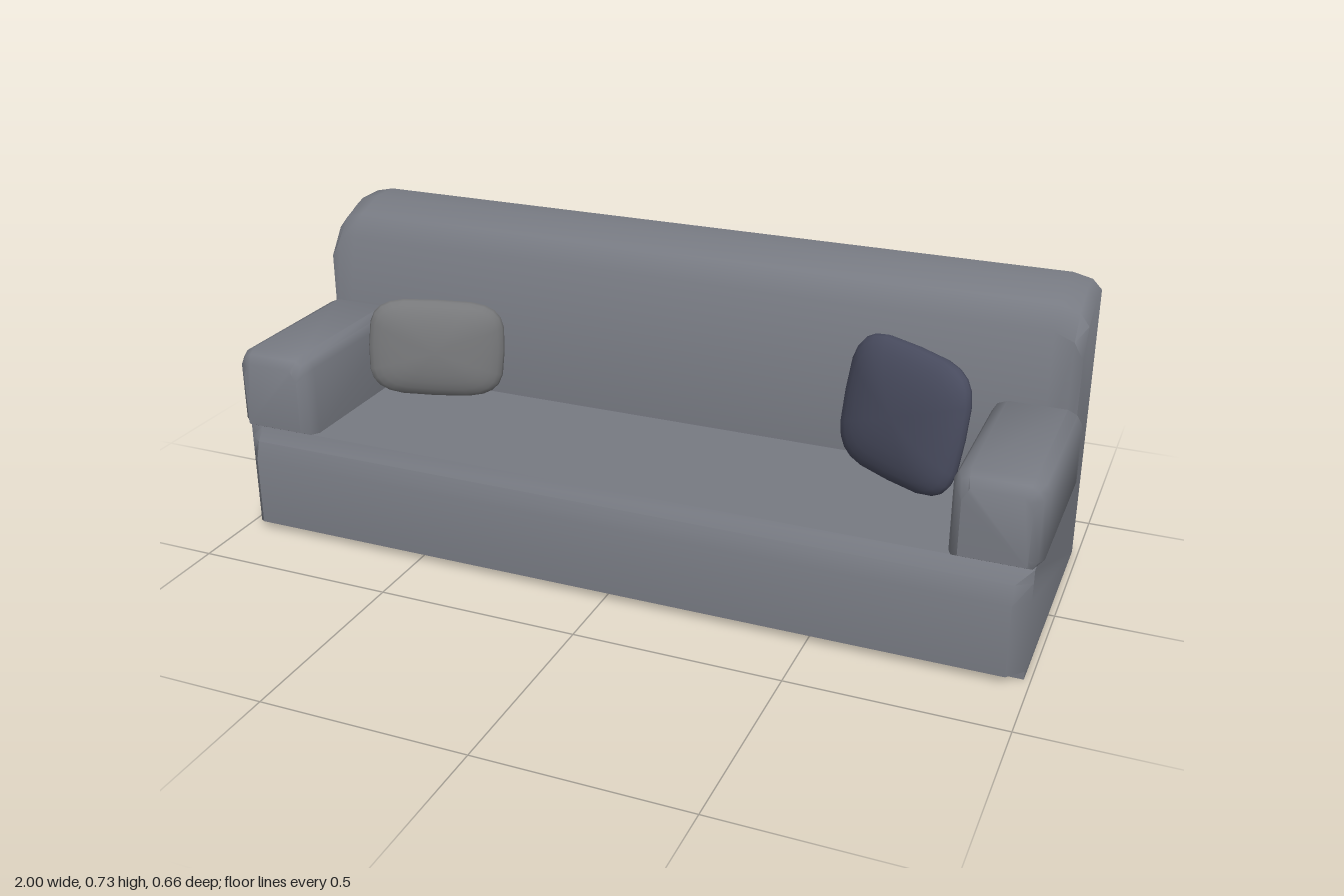
import * as THREE from 'three';
import { mergeVertices, toCreasedNormals } from 'three/addons/utils/BufferGeometryUtils.js';

const fabric = new THREE.MeshStandardMaterial({ color: 0x777a82 });
fabric.name = 'sofa fabric';
const paleFabric = new THREE.MeshStandardMaterial({ color: 0x77787a });
paleFabric.name = 'grey cushion fabric';
const darkFabric = new THREE.MeshStandardMaterial({ color: 0x484b5e });
darkFabric.name = 'navy cushion fabric';

// Skin a row of convex cross-sections with equal point counts and cap both ends
function loft(sections) {
  const tris = [];
  const n = sections[0].length;
  for (let s = 0; s < sections.length - 1; s++) {
    const a = sections[s], b = sections[s + 1];
    for (let i = 0; i < n; i++) {
      const j = (i + 1) % n;
      tris.push([a[i], a[j], b[j]], [a[i], b[j], b[i]]);
    }
  }
  const first = sections[0], last = sections[sections.length - 1];
  for (let i = 1; i < n - 1; i++) {
    tris.push([first[0], first[i + 1], first[i]], [last[0], last[i], last[i + 1]]);
  }
  // Turn the faces outward if the volume comes out negative
  let volume = 0;
  for (const [a, b, c] of tris) {
    volume += new THREE.Vector3(...a).dot(new THREE.Vector3(...b).cross(new THREE.Vector3(...c)));
  }
  if (volume < 0) tris.forEach((t) => t.reverse());
  const geometry = new THREE.BufferGeometry();
  geometry.setAttribute('position', new THREE.Float32BufferAttribute(tris.flat(2), 3));
  return toCreasedNormals(geometry, 0.8);
}

// Place (z, y) profiles at x positions, mirrored to the other side
function loftAcross(stations) {
  const right = stations.map(([x, p]) => p.map(([z, y]) => [-x, y, z]));
  const left = stations.map(([x, p]) => p.map(([z, y]) => [x, y, z])).reverse();
  return loft([...right, ...left]);
}

function add(group, name, geometry, material) {
  const mesh = new THREE.Mesh(geometry, material);
  mesh.name = name;
  group.add(mesh);
  return mesh;
}

// Puffed cushion: a sphere with a squared outline
function cushionGeometry(width, height, depth) {
  const g = new THREE.SphereGeometry(1, 24, 14);
  g.rotateX(Math.PI / 2);
  g.deleteAttribute('uv');
  g.deleteAttribute('normal');
  const p = g.attributes.position;
  const power = (v, e) => Math.sign(v) * Math.abs(v) ** e;
  for (let i = 0; i < p.count; i++) {
    const x = p.getX(i), y = p.getY(i), z = p.getZ(i);
    const r = Math.hypot(x, y);
    const c = r > 1e-5 ? x / r : 0, s = r > 1e-5 ? y / r : 0;
    const spread = r ** 0.85;
    p.setXYZ(i, power(c, 0.52) * spread * width / 2, power(s, 0.52) * spread * height / 2, z * depth / 2);
  }
  const merged = mergeVertices(g, 1e-4);
  merged.computeVertexNormals();
  return merged;
}

export function createModel() {
  const sofa = new THREE.Group();
  sofa.name = 'sofa';

  // Seat base with rounded front edge and chamfered front corners
  const baseEnd = [[-0.33, 0], [0.295, 0], [0.295, 0.02], [0.295, 0.195], [0.295, 0.24], [0.295, 0.272], [-0.33, 0.272]];
  const baseFull = [[-0.33, 0], [0.295, 0], [0.333, 0.02], [0.333, 0.195], [0.32, 0.24], [0.295, 0.272], [-0.33, 0.272]];
  add(sofa, 'seatBase', loftAcross([[0.985, baseEnd], [0.95, baseFull]]), fabric);

  // Backrest with sloped top that drops away at both ends
  const backProfile = (y1, y2, y3) =>
    [[-0.33, 0.272], [-0.125, 0.272], [-0.125, y1], [-0.172, y2], [-0.255, y3], [-0.33, y3]];
  add(sofa, 'backrest', loftAcross([
    [0.985, backProfile(0.59, 0.655, 0.692)],
    [0.962, backProfile(0.63, 0.685, 0.716)],
    [0.915, backProfile(0.65, 0.7, 0.727)],
  ]), fabric);

  // Armrests, bevelled along the top and around the front
  const armSection = (z, inset, top, bottom) => [
    [0.985 - inset * 0.5, bottom], [1 - inset, bottom + 0.018], [1 - inset, top - 0.03], [0.988 - inset, top - 0.01],
    [0.966 - inset * 0.5, top], [0.83 + inset * 0.3, top], [0.806 + inset, top - 0.01], [0.795 + inset, top - 0.03],
    [0.795 + inset, bottom],
  ].map(([x, y]) => [x, y, z]);
  const armSections = [
    armSection(-0.126, 0, 0.455, 0.272),
    armSection(-0.105, 0, 0.475, 0.272),
    armSection(0.277, 0, 0.475, 0.272),
    armSection(0.302, 0.01, 0.467, 0.275),
    armSection(0.32, 0.027, 0.447, 0.285),
  ];
  for (const side of [-1, 1]) {
    const sections = armSections.map((s) => s.map(([x, y, z]) => [side * x, y, z]));
    add(sofa, side > 0 ? 'leftArmrest' : 'rightArmrest', loft(sections), fabric);
  }

  // Loose cushions turned toward the middle of the seat
  const grey = add(sofa, 'greyCushion', cushionGeometry(0.35, 0.255, 0.095), paleFabric);
  grey.position.set(-0.63, 0.411, -0.036);
  grey.rotation.set(-0.12, 0.4, -0.05, 'YXZ');

  const navy = add(sofa, 'navyCushion', cushionGeometry(0.345, 0.335, 0.105), darkFabric);
  navy.position.set(0.617, 0.453, 0.012);
  navy.rotation.set(-0.12, -0.43, -0.07, 'YXZ');

  return sofa;
}
